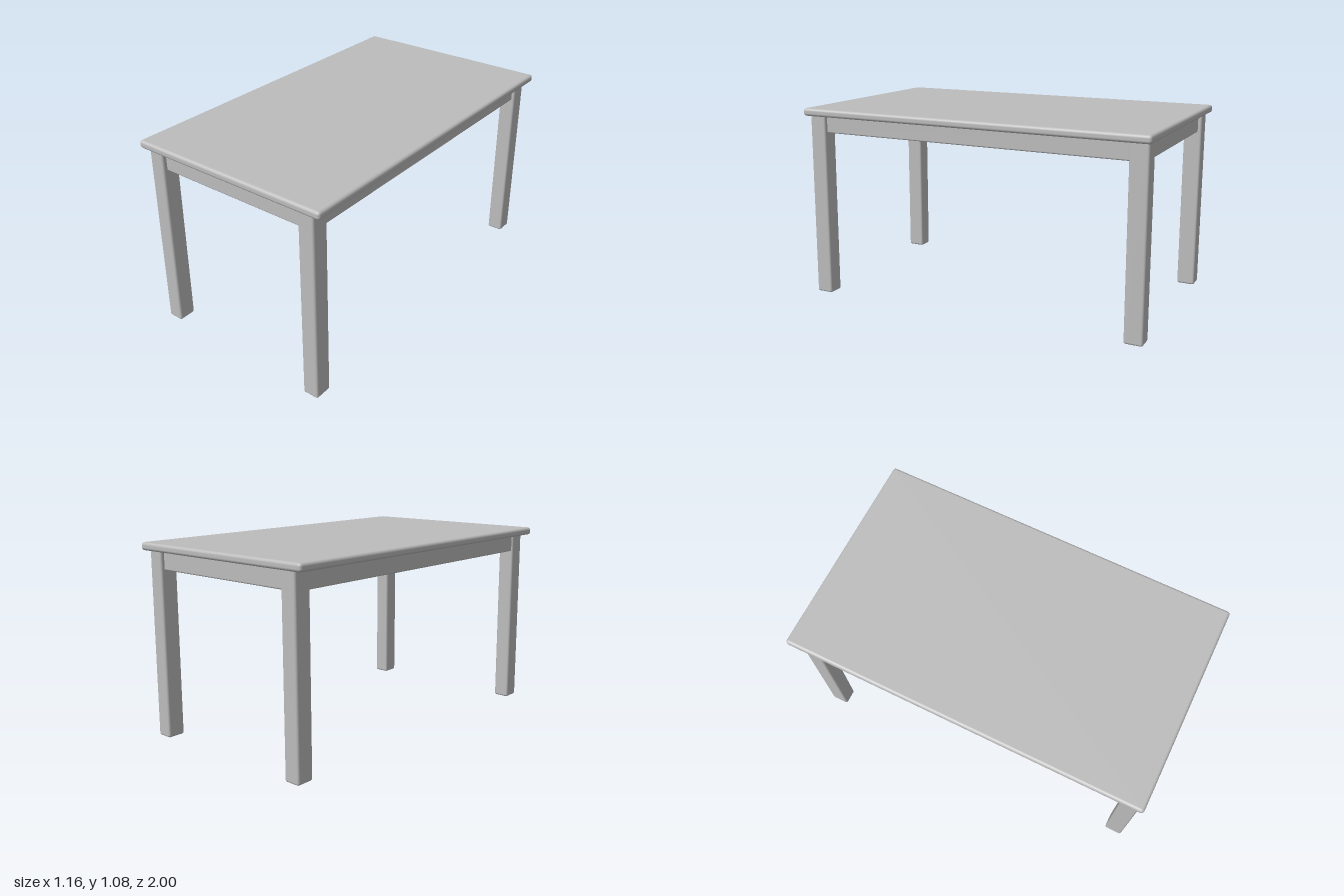
import * as THREE from 'three';
import { RoundedBoxGeometry } from 'three/addons/geometries/RoundedBoxGeometry.js';

export function createModel() {
  const table = new THREE.Group();
  table.name = 'table';
  const grey = new THREE.MeshStandardMaterial({ color: 0xbcbcbc });
  grey.name = 'light grey';

  // Softly rounded block between two corners
  function block(name, [x0, y0, z0], [x1, y1, z1], radius) {
    const geometry = new RoundedBoxGeometry(x1 - x0, y1 - y0, z1 - z0, 3, radius);
    geometry.translate((x0 + x1) / 2, (y0 + y1) / 2, (z0 + z1) / 2);
    const mesh = new THREE.Mesh(geometry, grey);
    mesh.name = name;
    table.add(mesh);
    return mesh;
  }

  // Tabletop with rounded edges
  block('tabletop', [-0.582, 1.042, -1], [0.58, 1.085, 0.995], 0.016);

  // Legs lean a little: centre at the top, centre at the foot, foot height
  const top = 1.055;
  const legs = [
    ['frontLeftLeg', [0.489, 0.931], [0.498, 0.945], 0.003],
    ['frontRightLeg', [-0.478, 0.931], [-0.478, 0.943], 0.02],
    ['backLeftLeg', [0.487, -0.928], [0.486, -0.932], 0.035],
    ['backRightLeg', [-0.48, -0.928], [-0.488, -0.932], 0.037],
  ];
  for (const [name, head, foot, y0] of legs) {
    const leg = block(name, [-0.045, y0, -0.05], [0.045, top, 0.05], 0.012);
    const p = leg.geometry.attributes.position;
    for (let i = 0; i < p.count; i++) {
      const t = (p.getY(i) - y0) / (top - y0);
      p.setX(i, p.getX(i) + THREE.MathUtils.lerp(foot[0], head[0], t));
      p.setZ(i, p.getZ(i) + THREE.MathUtils.lerp(foot[1], head[1], t));
    }
  }

  // Aprons between the legs, set slightly back from their outer faces
  const low = 0.945, high = 1.05;
  for (const [side, s] of [['left', 1], ['right', -1]]) {
    const x = s * 0.493;
    block(side + 'Apron', [x - 0.022, low, -0.91], [x + 0.022, high, 0.91], 0.008);
  }
  for (const [end, s] of [['front', 1], ['back', -1]]) {
    const z = s * 0.935;
    block(end + 'Apron', [-0.46, low, z - 0.022], [0.46, high, z + 0.022], 0.008);
  }
  return table;
}
